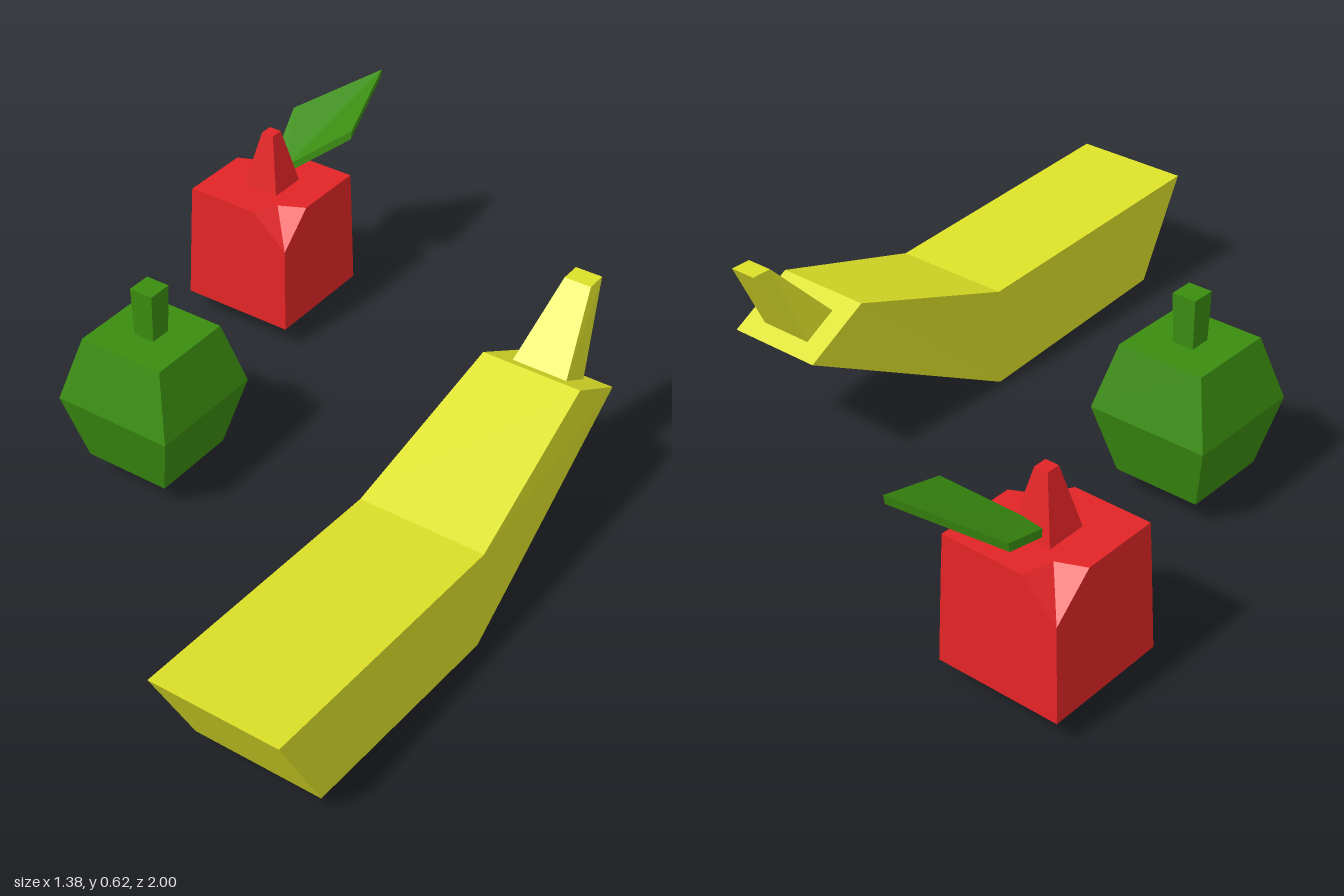
import * as THREE from 'three';

const material = (color) => new THREE.MeshStandardMaterial({ color, flatShading: true });
const yellow = material(0xdce028);
const green = material(0x3a8c10);
const red = material(0xe22426);

// Closed solid through rings of points; rings run counter-clockwise seen from the last one.
function loft(name, mat, rings) {
  const pos = [];
  const tri = (a, b, c) => {
    const [p, q, r] = [a, b, c].map((v) => new THREE.Vector3(...v));
    if (q.sub(p).cross(r.sub(p)).length() > 1e-7) pos.push(...a, ...b, ...c);
  };
  for (let k = 0; k + 1 < rings.length; k++) {
    const lo = rings[k], hi = rings[k + 1], n = lo.length;
    for (let i = 0; i < n; i++) {
      const j = (i + 1) % n;
      tri(lo[i], lo[j], hi[j]);
      tri(lo[i], hi[j], hi[i]);
    }
  }
  const first = rings[0], last = rings[rings.length - 1];
  for (let i = 1; i + 1 < first.length; i++) {
    tri(first[0], first[i + 1], first[i]);
    tri(last[0], last[i], last[i + 1]);
  }
  const geo = new THREE.BufferGeometry();
  geo.setAttribute('position', new THREE.Float32BufferAttribute(pos, 3));
  geo.computeVertexNormals();
  const mesh = new THREE.Mesh(geo, mat);
  mesh.name = name;
  return mesh;
}

// Horizontal square ring of half-width h
const square = (x, z, h, y) => [[x + h, y, z + h], [x + h, y, z - h], [x - h, y, z - h], [x - h, y, z + h]];

// Upright rectangular ring for the banana: upper edge, lower edge and half-width
function slice(h, [yTop, zTop], [yLow, zLow]) {
  const x = 0.522;
  return [[x + h, yTop, zTop], [x + h, yLow, zLow], [x - h, yLow, zLow], [x - h, yTop, zTop]];
}

function group(name, ...parts) {
  const g = new THREE.Group();
  g.name = name;
  g.add(...parts);
  return g;
}

export function createModel() {
  // Banana: bent body and tapered stem
  const banana = group('banana',
    loft('bananaBody', yellow, [
      slice(0.167, [0.32, 1.0], [0.045, 0.85]),
      slice(0.167, [0.277, 0.22], [0, 0.22]),
      slice(0.133, [0.435, -0.25], [0.34, -0.425]),
    ]),
    loft('bananaStem', yellow, [
      slice(0.074, [0.412, -0.292], [0.363, -0.382]),
      slice(0.036, [0.58, -0.45], [0.58, -0.505]),
    ]));

  // Green fruit: bulging block with a square stem
  const gx = -0.322, gz = 0.137;
  const greenFruit = group('greenFruit',
    loft('greenFruitBody', green, [
      square(gx, gz, 0.12, 0.065), square(gx, gz, 0.167, 0.25), square(gx, gz, 0.12, 0.422),
    ]),
    loft('greenFruitStem', green, [square(gx, gz, 0.029, 0.42), square(gx, gz, 0.033, 0.555)]));

  // Apple body: tapered block with two opposite top corners notched
  const ax = -0.525, az = -0.64;
  const cornerRing = (h, y) => {
    const [fl, bl, br, fr] = square(ax, az, h, y);
    return [fr, fl, fl, fl, bl, br, br, br];
  };
  const topY = 0.398, t = 0.155;
  const appleTop = [
    [ax - t, az + t], [-0.475, az + t], [-0.44, -0.55], [ax + t, -0.585],
    [ax + t, az - t], [-0.588, az - t], [-0.61, -0.72], [ax - t, -0.69],
  ].map(([x, z]) => [x, topY, z]);

  // Leaf: thin tilted kite
  const leafTop = [
    [-0.505, 0.437, -0.68], [-0.365, 0.54, -0.79], [-0.41, 0.623, -1.0],
    [-0.6, 0.51, -0.848], [-0.55, 0.432, -0.68],
  ];
  const leafUnder = leafTop.map(([x, y, z]) => [x, y - 0.023, z + 0.004]);

  const apple = group('apple',
    loft('appleBody', red, [cornerRing(0.165, 0.065), cornerRing(0.158, 0.31), appleTop]),
    loft('appleStem', red, [square(ax, az, 0.054, 0.396), square(ax, az, 0.018, 0.555)]),
    loft('appleLeaf', green, [leafUnder, leafTop]));

  return group('fruit', banana, greenFruit, apple);
}
